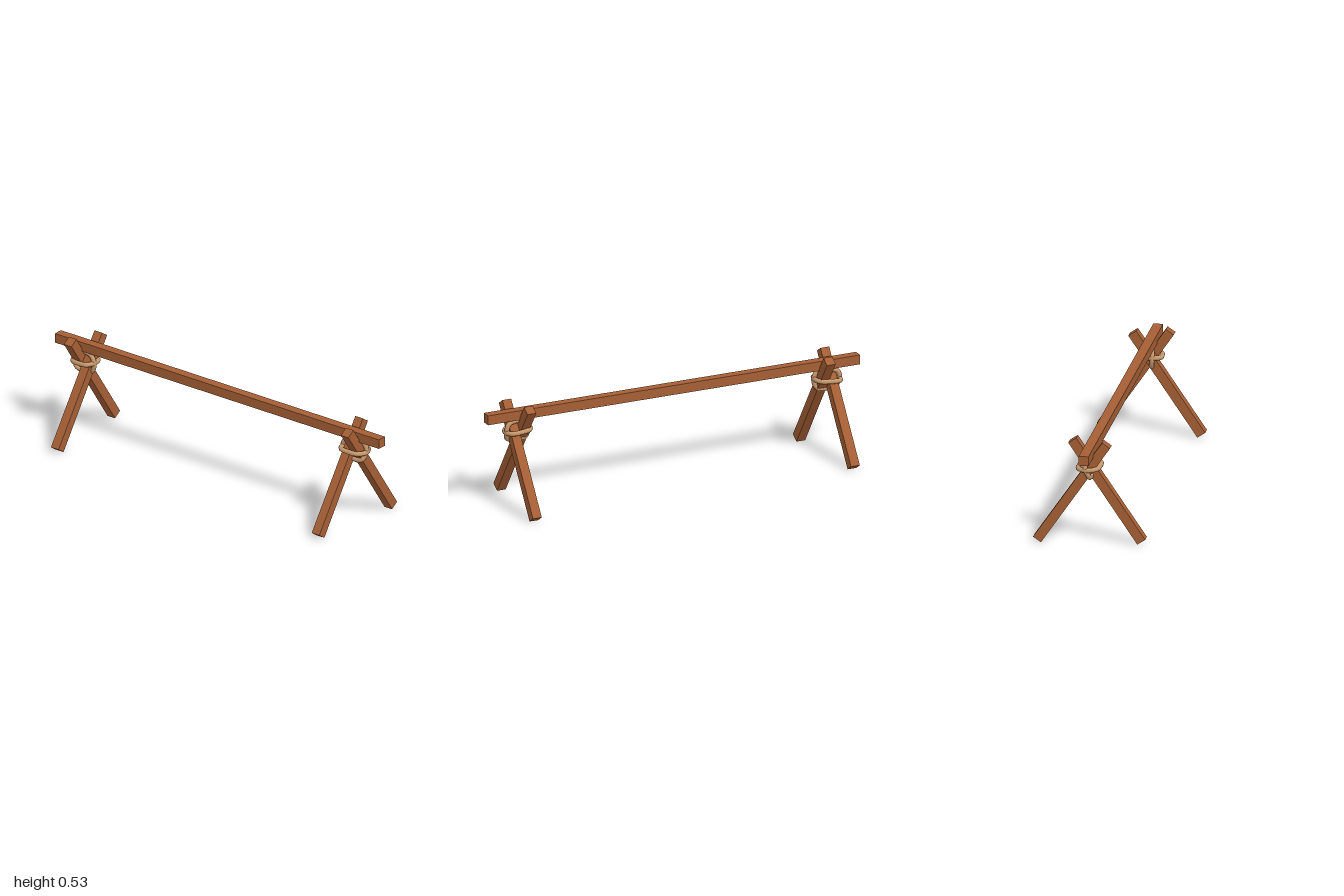
import * as THREE from 'three';

export function createModel() {
  const wood = new THREE.MeshStandardMaterial({ name: 'wood', color: 0xa65f35 });
  const rope = new THREE.MeshStandardMaterial({ name: 'rope', color: 0xc8986c });
  const model = new THREE.Group();
  model.name = 'trestleRail';

  const add = (parent, name, geometry, material) => {
    const mesh = new THREE.Mesh(geometry, material);
    mesh.name = name;
    parent.add(mesh);
    return mesh;
  };

  // Long rail resting in the crossed legs
  add(model, 'rail', new THREE.BoxGeometry(2, 0.048, 0.048), wood).position.y = 0.471;

  // Smooth closed rope through a few points, mirrored by side
  const ropeLoop = (parent, name, side, points) => {
    const path = new THREE.CatmullRomCurve3(
      points.map(([x, y, z]) => new THREE.Vector3(side * x, y, z)), true, 'centripetal');
    add(parent, name, new THREE.TubeGeometry(path, 40, 0.0125, 8, true), rope);
  };

  for (const side of [1, -1]) {
    const trestle = new THREE.Group();
    trestle.name = side > 0 ? 'leftTrestle' : 'rightTrestle';
    model.add(trestle);

    // Crossed legs: the inner foot points forward, the outer one back
    for (const [name, x, dir] of [['frontLeg', 0.805, 1], ['backLeg', 0.855, -1]]) {
      const leg = add(trestle, name, new THREE.BoxGeometry(0.047, 0.605, 0.047), wood);
      leg.position.set(side * x, 0.264, dir * 0.082);
      leg.rotation.x = -dir * 0.596;
    }

    // Lashing wound level around the crossing
    ropeLoop(trestle, 'levelLashing', side, [
      [0.897, 0.388, 0], [0.875, 0.39, 0.04], [0.83, 0.393, 0.05], [0.785, 0.396, 0.046],
      [0.768, 0.398, 0], [0.785, 0.396, -0.04], [0.83, 0.393, -0.05], [0.88, 0.39, -0.046],
    ]);

    // Lashing wound upright through the notches above and below the crossing
    ropeLoop(trestle, 'uprightLashing', side, [
      [0.895, 0.395, -0.012], [0.882, 0.43, -0.012], [0.83, 0.438, 0], [0.782, 0.428, 0.01],
      [0.768, 0.395, 0.012], [0.782, 0.352, 0.008], [0.83, 0.341, 0.006], [0.882, 0.35, 0.006],
    ]);
  }
  return model;
}
